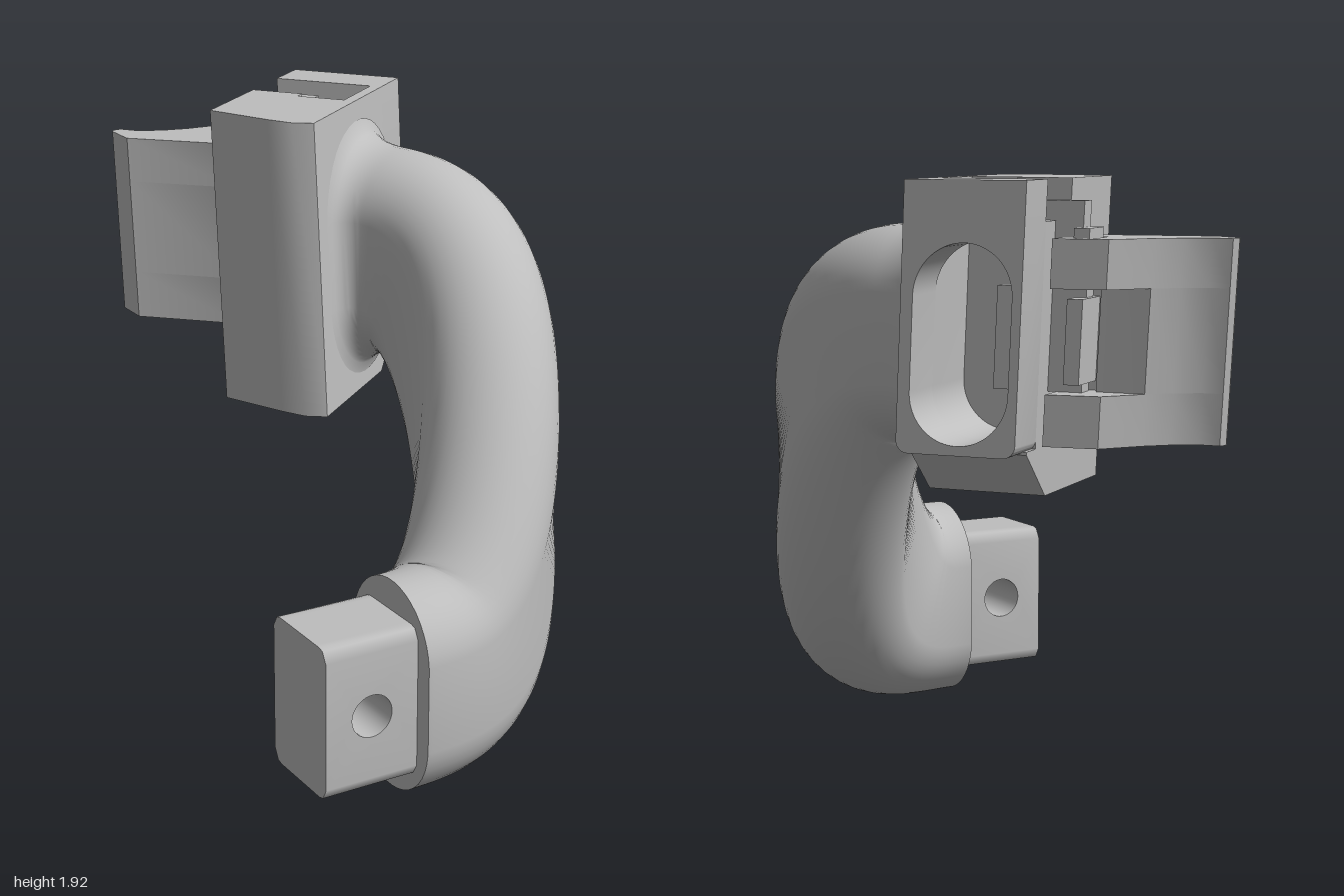
import * as THREE from 'three';
import { toCreasedNormals } from 'three/addons/utils/BufferGeometryUtils.js';

const LEAN = 0.085; // backward lean of the upright parts per unit of height
const ANGLE = 0.666; // turn of the mounting block about y
const ORIGIN = [-0.06, -0.06]; // top front corner of the block in x, z

const shapeOf = (pts) => new THREE.Shape(pts.map(([a, b]) => new THREE.Vector2(a, b)));
const extrude = (shape, depth, steps = 1) =>
  new THREE.ExtrudeGeometry(shape, { depth, steps, bevelEnabled: false, curveSegments: 20 });

// Leans a geometry back, leaving height y0 in place
const lean = (geo, y0) => geo.applyMatrix4(new THREE.Matrix4().set(
  1, 0, 0, 0, 0, 1, 0, 0, 0, -LEAN, 1, LEAN * y0, 0, 0, 0, 1));

// Block coordinates: u along the front face, v to the back, y up
const place = (geo) => lean(geo.rotateY(ANGLE).translate(ORIGIN[0], 0, ORIGIN[1]), 1.92);
const plan = (pts, y0, y1) => extrude(shapeOf(pts), y1 - y0).rotateX(-Math.PI / 2).translate(0, y0, 0);
const across = (shape, u0, u1) => extrude(shape, u1 - u0).rotateY(Math.PI / 2).translate(u0, 0, 0);
const facing = (shape, v0, v1) => extrude(shape, v1 - v0).translate(0, 0, -v1);
const boxUV = (u0, u1, y0, y1, v0, v1) =>
  facing(shapeOf([[u0, y0], [u1, y0], [u1, y1], [u0, y1]]), v0, v1);
// Block u, v to plan x, -z
const toPlan = ([u, v]) => {
  const c = Math.cos(ANGLE), s = Math.sin(ANGLE);
  return [ORIGIN[0] + u * c - v * s, -(ORIGIN[1] - u * s - v * c)];
};

// Curved arm: a stadium section swept round an arc while rising, with a fillet at the block
function armGeometry() {
  const rings = 110, sides = 40, end = THREE.MathUtils.degToRad(127.5);
  const pos = [], idx = [];
  for (let i = 0; i <= rings; i++) {
    const t = i / rings, th = t * end;
    const y = 0.35 + 1.08 * t ** 4 * (35 - 84 * t + 70 * t * t - 20 * t ** 3);
    const slope = 1.08 * 140 * (t * (1 - t)) ** 3 / (0.64 * end);
    const radial = new THREE.Vector3(Math.sin(th), 0, Math.cos(th));
    const tangent = new THREE.Vector3(Math.cos(th), slope, -Math.sin(th)).normalize();
    const up = new THREE.Vector3().crossVectors(radial, tangent);
    up.z -= LEAN * t * t;
    const w = Math.max(0, (t - 0.91) / 0.09);
    const r = 0.225 + 0.08 * (1 - Math.sqrt(1 - w * w));
    const straight = 0.125 + 0.02 * Math.sin(Math.PI * t) ** 2;
    const center = new THREE.Vector3(-0.27 + 0.635 * radial.x, y, 0.14 + 0.635 * radial.z);
    for (let j = 0; j < sides; j++) {
      const a = (j + 0.5) / sides * Math.PI * 2;
      const p = center.clone().addScaledVector(radial, r * Math.cos(a))
        .addScaledVector(up, r * Math.sin(a) + straight * Math.sign(Math.sin(a)));
      pos.push(p.x, p.y, p.z);
      if (i < rings) {
        const k = (j + 1) % sides, a0 = i * sides, b0 = a0 + sides;
        idx.push(a0 + j, b0 + j, a0 + k, b0 + j, b0 + k, a0 + k);
      }
    }
  }
  // Flat cap where the peg enters
  const c = pos.length / 3;
  pos.push(-0.27, 0.35, 0.775);
  for (let j = 0; j < sides; j++) idx.push(c, j, (j + 1) % sides);
  const geo = new THREE.BufferGeometry();
  geo.setAttribute('position', new THREE.Float32BufferAttribute(pos, 3));
  geo.setIndex(idx);
  return toCreasedNormals(geo, 0.7);
}

// Peg with a cross hole and softened long edges
function pegGeometry() {
  const shape = shapeOf([[-0.59, 0.1], [-0.25, 0.1], [-0.25, 0.6], [-0.59, 0.6]]);
  shape.holes.push(new THREE.Path().absarc(-0.43, 0.35, 0.07, 0, Math.PI * 2, true));
  const geo = extrude(shape, 0.32, 16);
  const p = geo.attributes.position;
  for (let i = 0; i < p.count; i++) {
    const y = p.getY(i) - 0.35, z = p.getZ(i) - 0.16;
    if (Math.abs(y) > 0.2) {
      const d = Math.max(0, Math.abs(z) - 0.12);
      p.setY(i, 0.35 + Math.sign(y) * (0.21 + Math.sqrt(Math.max(0, 0.0016 - d * d))));
    }
  }
  return toCreasedNormals(geo.translate(0, 0, 0.615), 0.8);
}

export function createModel() {
  const model = new THREE.Group();
  const grey = new THREE.MeshStandardMaterial({ color: 0xbebebe });
  grey.name = 'grey';
  const add = (parent, name, geo) => {
    const mesh = new THREE.Mesh(geo, grey);
    mesh.name = name;
    parent.add(mesh);
  };
  const group = (name) => {
    const g = new THREE.Group();
    g.name = name;
    model.add(g);
    return g;
  };
  const crease = (geo) => toCreasedNormals(geo, 0.5);

  add(model, 'curvedArm', armGeometry());
  add(model, 'peg', pegGeometry());

  // Mounting block: solid side, open-topped socket, slotted end and lower wedge
  const block = group('mountingBlock');
  add(block, 'solidSide', crease(place(plan(
    [[0, 0], [0.365, 0], [0.365, 0.39], [0.053, 0.39], [-0.005, 0.16], [-0.02, 0.07]], 0.95, 1.925))));

  const socket = shapeOf([[0, 1.1], [0.39, 1.1], [0.39, 1.8], [0.36, 1.8], [0.36, 1.29]]);
  socket.absarc(0.2, 1.29, 0.16, 0, Math.PI, true);
  socket.lineTo(0.04, 1.925);
  socket.lineTo(0, 1.925);
  add(block, 'socketWalls', crease(place(across(socket, 0.365, 0.61))));
  add(block, 'socketFill', place(boxUV(0.36, 0.405, 1.2, 1.925, 0.21, 0.39)));

  const endShape = new THREE.Shape();
  endShape.moveTo(0, 1.925);
  endShape.lineTo(0, 1.14);
  endShape.absarc(0.04, 1.14, 0.04, Math.PI, Math.PI * 1.5, false);
  endShape.absarc(0.35, 1.14, 0.04, Math.PI * 1.5, Math.PI * 2, false);
  endShape.lineTo(0.39, 1.925);
  const slot = new THREE.Path();
  slot.absarc(0.2, 1.29, 0.16, Math.PI, Math.PI * 2, false);
  slot.absarc(0.2, 1.58, 0.16, 0, Math.PI, false);
  endShape.holes.push(slot);
  add(block, 'slottedEnd', crease(place(across(endShape, 0.61, 0.778))));

  add(block, 'lowerWedge', crease(place(facing(
    shapeOf([[0.36, 0.95], [0.51, 0.95], [0.68, 1.1], [0.68, 1.11], [0.36, 1.11]]), 0, 0.39))));

  // Bolt and plate linking the socket to the clip
  const bolt = group('linkBolt');
  add(bolt, 'boltHead', place(boxUV(0.4, 0.55, 1.78, 1.89, 0.21, 0.29)));
  add(bolt, 'boltShaft', place(boxUV(0.47, 0.53, 1.66, 1.86, 0.28, 0.48)));
  add(bolt, 'boltFoot', place(boxUV(0.45, 0.57, 1.62, 1.78, 0.465, 0.515)));
  add(bolt, 'linkPlate', place(boxUV(0.47, 0.53, 1.28, 1.6, 0.21, 0.5)));
  add(bolt, 'linkFoot', place(boxUV(0.45, 0.6, 1.31, 1.57, 0.465, 0.515)));

  // Clip: winged outline stacked as a solid base, an open window layer and a T-channel layer
  const clip = group('clip');
  const wing = [[-0.08, 0.6], [-0.35, 0.86], [-0.35, 0.98], [-0.335, 0.998], [-0.31, 1],
    [-0.27, 0.95], [-0.19, 0.91], [-0.1, 0.89]];
  const back = [[0.05, 0.88], [0.17, 0.755]];
  const near = [-0.07, 0.575];
  const channel = [[0.54, 0.405], [0.54, 0.46], [0.58, 0.46], [0.58, 0.52],
    [0.44, 0.52], [0.44, 0.46], [0.46, 0.46], [0.46, 0.405]].map(toPlan);
  const window = [[0.48, 0.62], [0.48, 0.52], [0.44, 0.52], [0.44, 0.406]].map(toPlan);
  const layers = [
    ['clipBase', [...wing, ...back, near], 1.12, 1.28],
    ['clipWing', [...wing, ...window, near], 1.28, 1.6],
    ['clipChannel', [...wing, ...back, ...channel, near], 1.6, 1.75],
  ];
  for (const [name, pts, y0, y1] of layers) add(clip, name, crease(lean(plan(pts, y0, y1), 1.75)));

  return model;
}
